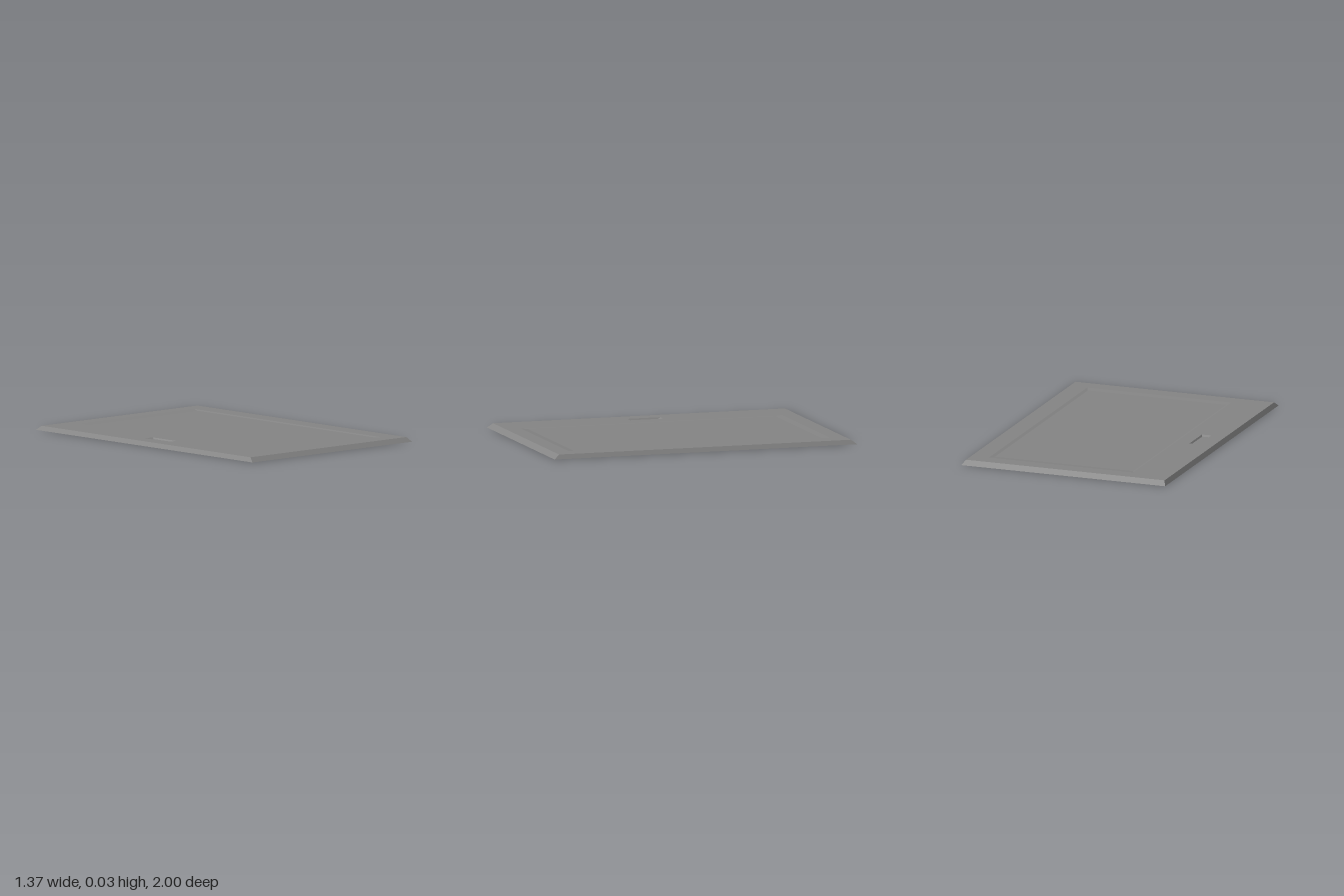
import * as THREE from 'three';

const H = 0.028;

// Rectangle centred on z = 0, at height y
const rect = (x0, x1, z, y) => ({ x0, x1, z, y });
const corners = (r) => [
  [r.x0, r.y, r.z], [r.x1, r.y, r.z], [r.x1, r.y, -r.z], [r.x0, r.y, -r.z],
];

// Sloped walls from an outer rectangle to an inner one, plus an optional upward floor
function walls(outer, inner, floor) {
  const a = corners(outer), b = corners(inner), pos = [];
  for (let i = 0; i < 4; i++) {
    const j = (i + 1) % 4;
    pos.push(...a[i], ...a[j], ...b[j], ...a[i], ...b[j], ...b[i]);
  }
  if (floor) pos.push(...b[0], ...b[1], ...b[2], ...b[0], ...b[2], ...b[3]);
  const g = new THREE.BufferGeometry();
  g.setAttribute('position', new THREE.Float32BufferAttribute(pos, 3));
  g.computeVertexNormals();
  return g;
}

function outline(r, PathType) {
  return new PathType([
    [r.x0, -r.z], [r.x1, -r.z], [r.x1, r.z], [r.x0, r.z],
  ].map(([x, y]) => new THREE.Vector2(x, y)));
}

export function createModel() {
  const group = new THREE.Group();
  const mat = new THREE.MeshStandardMaterial({ color: 0x848484, flatShading: true });
  const add = (name, geometry) => {
    const mesh = new THREE.Mesh(geometry, mat);
    mesh.name = name;
    group.add(mesh);
  };

  const base = rect(-0.685, 0.685, 1, 0);
  const top = rect(-0.668, 0.668, 0.965, H);
  const panel = rect(-0.42, 0.55, 0.865, H);
  const panelFloor = rect(-0.4, 0.53, 0.82, H - 0.005);
  const slot = rect(-0.574, -0.51, 0.109, H);
  const slotFloor = rect(-0.567, -0.517, 0.093, H - 0.009);

  // Bevelled rim and underside
  add('bevelledRim', walls(base, top, false));
  add('underside', new THREE.ShapeGeometry(outline(base, THREE.Shape)).rotateX(Math.PI / 2));

  // Face with openings for the panel and the pull
  const face = outline(top, THREE.Shape);
  face.holes.push(outline(panel, THREE.Path), outline(slot, THREE.Path));
  add('doorFace', new THREE.ShapeGeometry(face).rotateX(-Math.PI / 2).translate(0, H, 0));

  // Shallow sunken panel, and finger pull with gently ramped ends
  add('sunkenPanel', walls(panel, panelFloor, true));
  add('fingerPull', walls(slot, slotFloor, true));
  return group;
}
